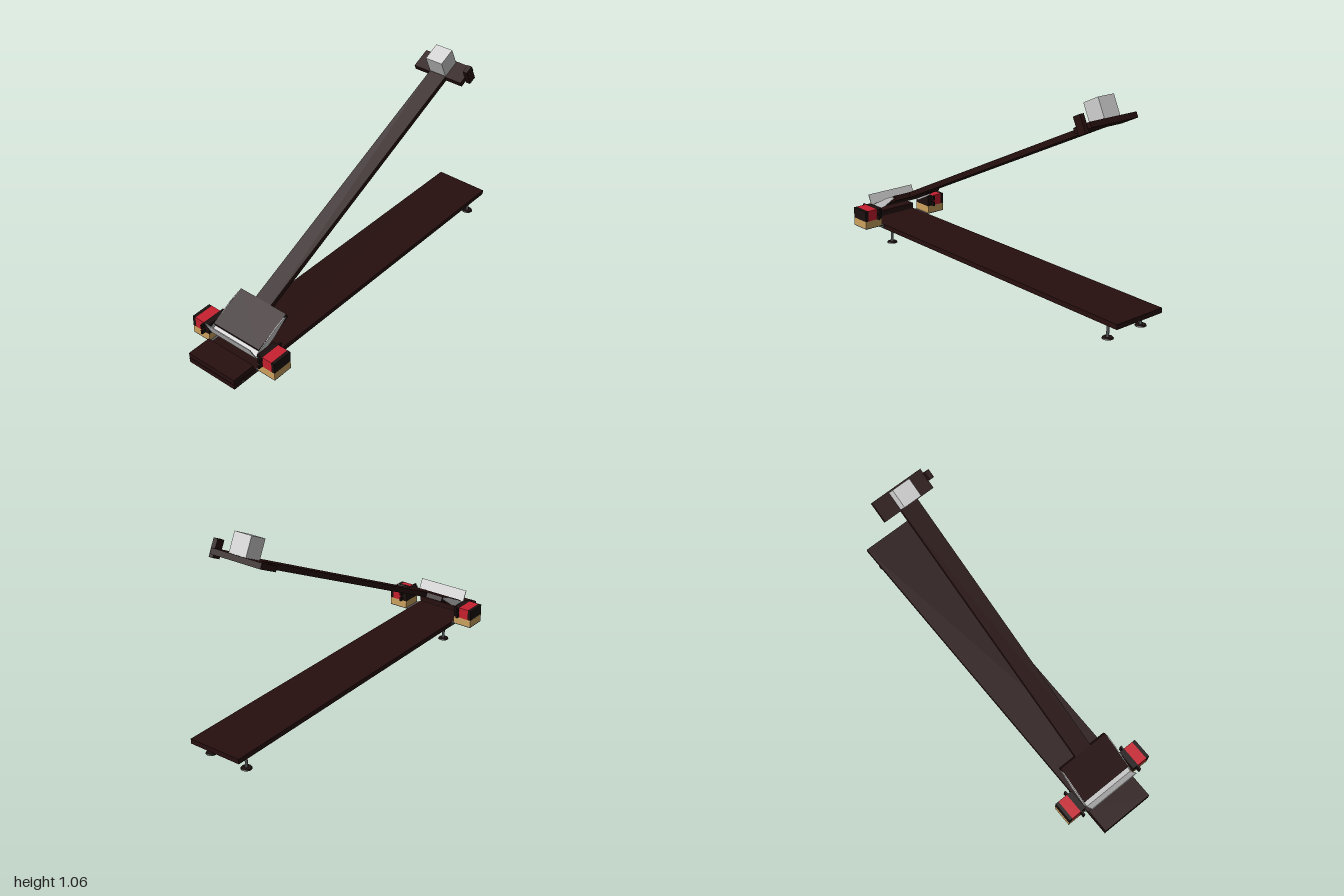
import * as THREE from 'three';

const mat = (name, color, side = THREE.FrontSide) => {
  const m = new THREE.MeshStandardMaterial({ color, side });
  m.name = name;
  return m;
};

export function createModel() {
  const wood = mat('dark wood', 0x260f0e);
  const black = mat('black casing', 0x1c0f0f);
  const steel = mat('light steel', 0xcfcfcf);
  const grey = mat('dark steel', 0x55585a);
  const red = mat('red coil', 0xc8202f);
  const tan = mat('tan block', 0xcda35f);

  const model = new THREE.Group();
  model.name = 'hingedArmBoard';

  const add = (parent, name, geometry, material, x = 0, y = 0, z = 0) => {
    const mesh = new THREE.Mesh(geometry, material);
    mesh.name = name;
    mesh.position.set(x, y, z);
    parent.add(mesh);
    return mesh;
  };
  // Box given by its limits on each axis
  const box = (parent, name, material, [x0, x1], [y0, y1], [z0, z1]) =>
    add(parent, name, new THREE.BoxGeometry(x1 - x0, y1 - y0, z1 - z0), material,
      (x0 + x1) / 2, (y0 + y1) / 2, (z0 + z1) / 2);

  // Base plank with a raised block at one end
  const W = 0.145;
  box(model, 'basePlank', wood, [-1, 1], [0.08, 0.105], [-W, W]);
  box(model, 'blockShim', grey, [-0.995, -0.875], [0.105, 0.109], [-W + 0.003, W - 0.003]);
  box(model, 'endBlock', wood, [-1, -0.87], [0.109, 0.135], [-W, W]);

  // Four levelling feet and two side screws
  for (const s of [-1, 1]) {
    for (const x of [-0.725, 0.91]) {
      const foot = new THREE.Group();
      foot.name = 'levellingFoot';
      foot.position.set(x, 0, s * 0.107);
      model.add(foot);
      add(foot, 'footDisc', new THREE.CylinderGeometry(0.024, 0.028, 0.006, 20), black, 0, 0.003, 0);
      add(foot, 'footStem', new THREE.CylinderGeometry(0.007, 0.007, 0.076, 12), grey, 0, 0.043, 0);
    }
    const screw = add(model, 'sideScrew', new THREE.CylinderGeometry(0.005, 0.005, 0.004, 10), grey, -0.945, 0.092, s * W);
    screw.rotation.x = Math.PI / 2;
  }

  // Side units: shelf bracket, tan block and a wound coil between dark ends
  for (const s of [-1, 1]) {
    const unit = new THREE.Group();
    unit.name = s > 0 ? 'frontUnit' : 'backUnit';
    model.add(unit);
    const span = (a, b) => (s > 0 ? [a, b] : [-b, -a]);
    const X = [-0.855, -0.745];
    box(unit, 'shelf', grey, X, [0.1, 0.104], span(W, 0.262));
    box(unit, 'shelfTab', grey, [-0.855, -0.745], [0.082, 0.104], span(W, W + 0.003));
    box(unit, 'supportBlock', tan, X, [0.104, 0.143], span(0.157, 0.262));
    box(unit, 'innerCasing', black, X, [0.143, 0.2], span(0.157, 0.189));
    box(unit, 'coil', red, X, [0.143, 0.2], span(0.189, 0.244));
    box(unit, 'outerCasing', black, X, [0.143, 0.2], span(0.244, 0.262));
    for (const y of [0.145, 0.178])
      box(unit, 'flange', black, [-0.878, -0.725], [y, y + 0.022], span(0.18, 0.189));
  }

  // Raised arm, built lengthwise along its own x axis
  const arm = new THREE.Group();
  arm.name = 'raisedArm';
  arm.position.y = 0.58;
  arm.rotation.z = THREE.MathUtils.degToRad(25.3);
  model.add(arm);
  const T = [-0.014, 0.014];
  box(arm, 'armBeam', wood, [-0.7, 0.785], T, [-0.049, 0.049]);
  box(arm, 'lowerBoard', wood, [-0.912, -0.7], T, [-W, W]);
  box(arm, 'upperBoard', wood, [0.785, 0.895], T, [-W, W]);
  box(arm, 'counterweight', steel, [0.79, 0.888], [0.014, 0.113], [-0.049, 0.049]);

  // Catch on the front edge of the upper board
  box(arm, 'catchStem', wood, [0.826, 0.872], [-0.03, 0.058], [0.142, 0.166]);

  // Steel bracket wrapping the low end of the arm
  box(arm, 'bracketFloor', steel, [-0.945, -0.908], [-0.014, -0.009], [-W, W]);
  box(arm, 'bracketFlap', steel, [-0.948, -0.944], [-0.014, 0.071], [-W, W]);
  const cheek = new THREE.Shape([
    [-0.945, -0.014], [-0.93, 0.008], [-0.779, 0.0165], [-0.72, 0.013],
    [-0.712, 0.001], [-0.82, -0.022], [-0.92, -0.024],
  ].map(([x, y]) => new THREE.Vector2(x, y)));
  const cheekGeometry = new THREE.ExtrudeGeometry(cheek, { depth: 0.004, bevelEnabled: false });
  for (const z of [W, -W - 0.004]) add(arm, 'bracketCheek', cheekGeometry, steel, 0, 0, z);

  return model;
}
